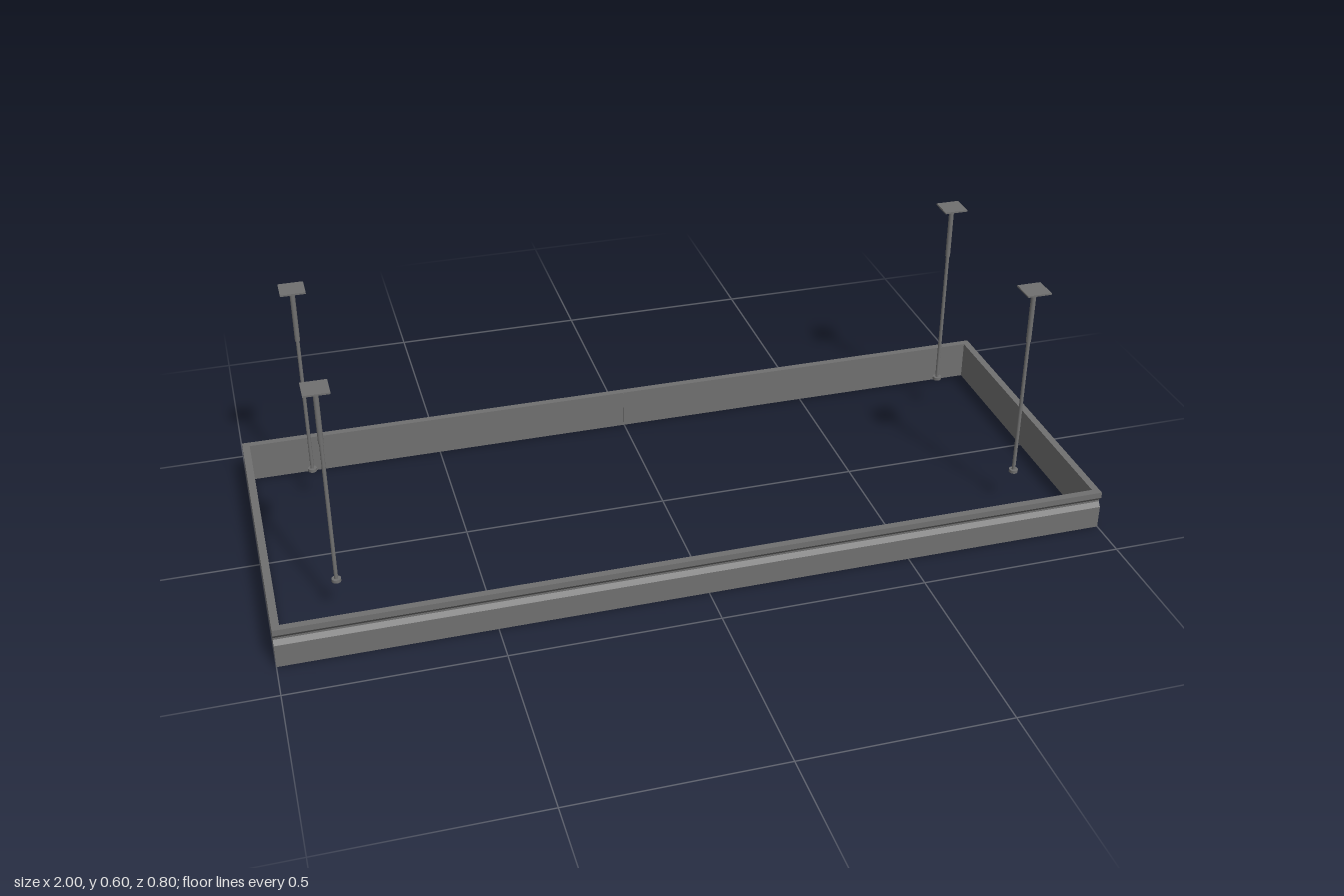
import * as THREE from 'three';

const LENGTH = 2, WIDTH = 0.8, HEIGHT = 0.1, WALL = 0.018;

export function createModel() {
  const model = new THREE.Group();
  model.name = 'suspendedFrame';
  const metal = new THREE.MeshStandardMaterial({ color: 0x707070 });
  metal.name = 'grey metal';

  const add = (parent, name, geometry, x, y, z) => {
    const mesh = new THREE.Mesh(geometry, metal);
    mesh.name = name;
    mesh.position.set(x, y, z);
    parent.add(mesh);
    return mesh;
  };

  // Long rails: a wall profile with a groove along the outer face
  const profile = new THREE.Shape([
    [0, 0], [WALL, 0], [WALL, 0.058], [WALL - 0.009, 0.069], [WALL - 0.009, 0.074],
    [WALL, 0.085], [WALL, HEIGHT], [0, HEIGHT],
  ].map(([u, v]) => new THREE.Vector2(u, v)));
  const railGeometry = new THREE.ExtrudeGeometry(profile, { depth: LENGTH, bevelEnabled: false });
  railGeometry.translate(WIDTH / 2 - WALL, 0, -LENGTH / 2);
  for (const side of [1, -1]) {
    const rail = add(model, side > 0 ? 'frontRail' : 'backRail', railGeometry, 0, 0, 0);
    rail.rotation.y = -side * Math.PI / 2;

    // Joint strip at the middle of the inner face
    add(model, 'railJoint', new THREE.BoxGeometry(0.005, HEIGHT - 0.004, 0.002),
      0, HEIGHT / 2, side * (WIDTH / 2 - WALL - 0.001));

    // Flat end walls between the rails
    add(model, side > 0 ? 'leftEndWall' : 'rightEndWall',
      new THREE.BoxGeometry(WALL, HEIGHT, WIDTH - 2 * WALL),
      side * (LENGTH - WALL) / 2, HEIGHT / 2, 0);
  }

  // Four hangers: foot, rod, wider sleeve, neck and ceiling plate
  const cylinder = (r, h) => new THREE.CylinderGeometry(r, r, h, 16);
  for (const x of [-0.84, 0.84]) {
    for (const z of [-0.24, 0.24]) {
      const hanger = new THREE.Group();
      hanger.name = 'hanger';
      hanger.position.set(x, 0, z);
      add(hanger, 'foot', cylinder(0.011, 0.008), 0, 0.094, 0);
      add(hanger, 'rod', cylinder(0.0045, 0.366), 0, 0.277, 0);
      add(hanger, 'sleeve', cylinder(0.0062, 0.132), 0, 0.526, 0);
      add(hanger, 'neck', cylinder(0.002, 0.006), 0, 0.594, 0);
      add(hanger, 'ceilingPlate', new THREE.BoxGeometry(0.06, 0.004, 0.06), 0, 0.598, 0);
      model.add(hanger);
    }
  }
  return model;
}
